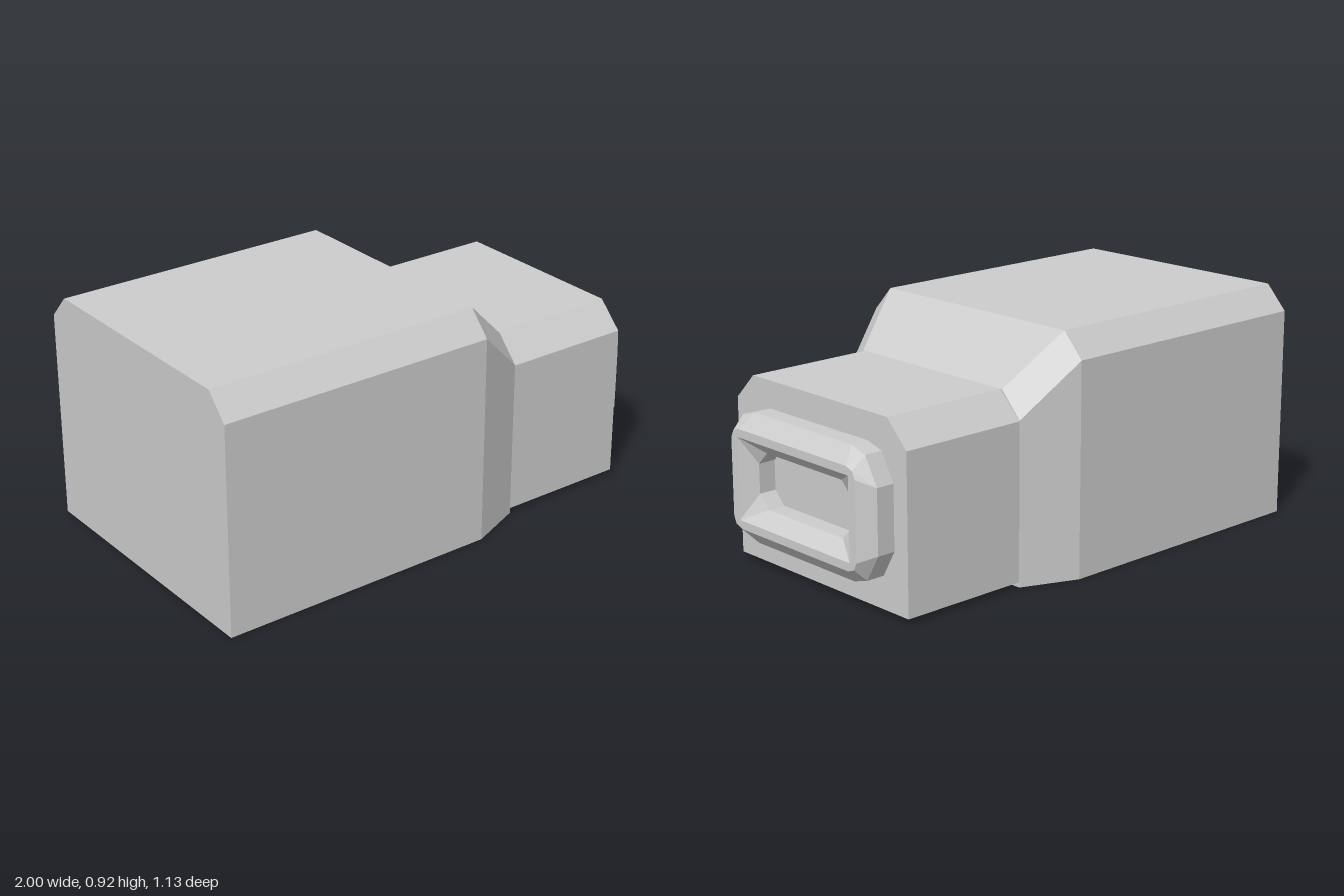
import * as THREE from 'three';

// Section loops run counter-clockwise in the (z, y) plane as seen from +x.

// Box section with two chamfered top corners
function hull(half, bottom, shoulder, top, topHalf) {
  return [
    [-half, bottom], [-half, shoulder], [-topHalf, top],
    [topHalf, top], [half, shoulder], [half, bottom],
  ];
}

// Rectangle with three points per corner, mirrored about z = 0 and y = cy.
// Each corner point is [z, height above cy], listed from the side to the top.
function port(cy, corner) {
  const back = [...corner].reverse();
  return [
    ...corner.map(([z, h]) => [-z, cy + h]),
    ...back.map(([z, h]) => [z, cy + h]),
    ...corner.map(([z, h]) => [z, cy - h]),
    ...back.map(([z, h]) => [-z, cy - h]),
  ];
}

// Skin a list of sections [x, loop], optionally closing both ends
function loft(sections, capped) {
  const pos = [];
  const rings = sections.map(([x, loop]) => loop.map(([z, y]) => [x, y, z]));
  const tri = (a, b, c) => pos.push(...a, ...b, ...c);
  for (let s = 0; s < rings.length - 1; s++) {
    const a = rings[s], b = rings[s + 1], n = a.length;
    for (let i = 0; i < n; i++) {
      const j = (i + 1) % n;
      tri(a[i], a[j], b[j]);
      tri(a[i], b[j], b[i]);
    }
  }
  if (capped) {
    const first = rings[0], last = rings[rings.length - 1];
    for (let i = 1; i < first.length - 1; i++) {
      tri(first[0], first[i + 1], first[i]);
      tri(last[0], last[i], last[i + 1]);
    }
  }
  const geometry = new THREE.BufferGeometry();
  geometry.setAttribute('position', new THREE.Float32BufferAttribute(pos, 3));
  geometry.computeVertexNormals();
  return geometry;
}

export function createModel() {
  const model = new THREE.Group();
  model.name = 'adapterPlug';
  const grey = new THREE.MeshStandardMaterial({ color: 0xcccccc });
  grey.name = 'light grey';
  grey.flatShading = true;

  const add = (name, geometry) => {
    const mesh = new THREE.Mesh(geometry, grey);
    mesh.name = name;
    model.add(mesh);
  };

  // Large housing with its taper
  const big = hull(0.565, 0, 0.825, 0.92, 0.477);
  add('housing', loft([
    [-1, big],
    [0.13, big],
    [0.348, hull(0.476, 0, 0.628, 0.725, 0.385)],
  ], true));

  // Narrow neck, whose end face is also the floor of the socket
  const neck = hull(0.475, 0.02, 0.625, 0.725, 0.376);
  add('neck', loft([[0.345, neck], [0.875, neck]], true));

  // Collar: outer wall, bevel, flat rim, funnel and straight socket wall
  const cy = 0.372;
  const outer = port(cy, [[0.405, 0.123], [0.345, 0.227], [0.275, 0.248]]);
  const lip = port(cy, [[0.35, 0.15], [0.337, 0.178], [0.305, 0.19]]);
  const mouth = port(cy, [[0.314, 0.158], [0.314, 0.158], [0.314, 0.158]]);
  const socket = port(cy, [[0.262, 0.057], [0.237, 0.082], [0.212, 0.107]]);
  add('socketCollar', loft([
    [0.875, outer],
    [0.948, outer],
    [1, lip],
    [1, mouth],
    [0.945, socket],
    [0.875, socket],
  ], false));

  return model;
}
